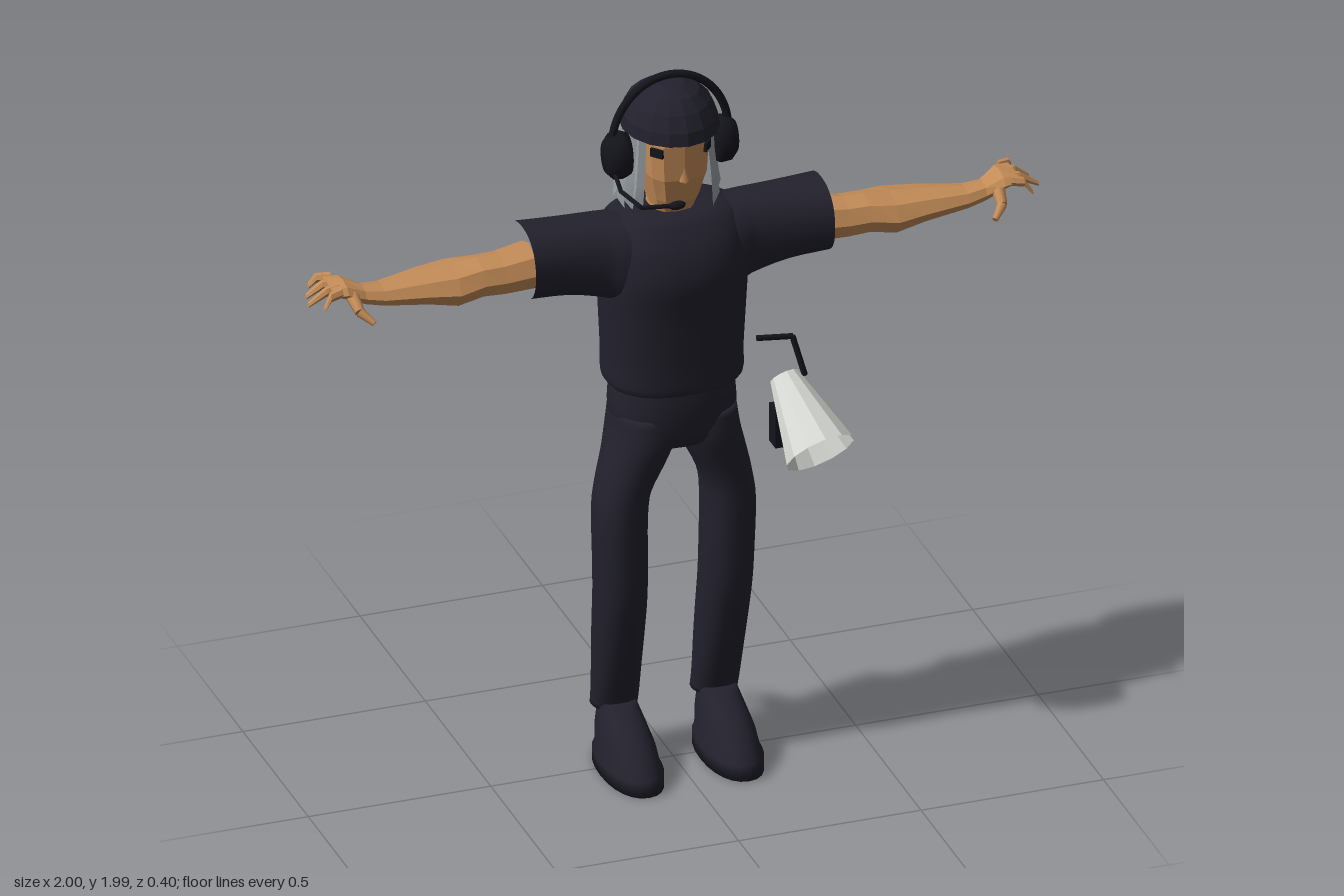
import * as THREE from 'three';

const mat = (name, color, extra = {}) => {
  const m = new THREE.MeshStandardMaterial({ color, ...extra });
  m.name = name;
  return m;
};

// Catmull-Rom refinement of cross-section rows
function refine(rings, k) {
  const out = [], at = i => rings[Math.max(0, Math.min(rings.length - 1, i))];
  for (let i = 0; i < rings.length - 1; i++) for (let j = 0; j < k; j++) {
    const t = j / k, [p, a, b, q] = [at(i - 1), at(i), at(i + 1), at(i + 2)];
    out.push(a.map((v, c) => v + 0.5 * t * (b[c] - p[c] + t * (2 * p[c] - 5 * v + 4 * b[c] - q[c] + t * (3 * (v - b[c]) + q[c] - p[c])))));
  }
  out.push(rings[rings.length - 1]);
  return out;
}

// Rings go along axis y as [y, cx, cz, rx, rz] or along axis x as [x, cy, cz, ry, rz]
function loft(rings, { axis = 'y', n = 24, pow = 2, flat = false, skip = null } = {}) {
  const pos = [], idx = [];
  const sup = v => Math.sign(v) * Math.abs(v) ** (2 / pow);
  for (const [t, a, b, ra, rb] of rings) for (let j = 0; j < n; j++) {
    const th = j / n * Math.PI * 2, c = sup(Math.cos(th)), s = sup(Math.sin(th));
    if (axis === 'y') pos.push(a + ra * c, t, b + rb * s);
    else pos.push(t, a + ra * s, b + rb * c);
  }
  for (let i = 0; i < rings.length - 1; i++) for (let j = 0; j < n; j++) {
    const k = (j + 1) % n, a = i * n + j, b = i * n + k, c = a + n, d = b + n;
    if (skip && [a, b, c, d].every(v => skip(pos[v * 3], pos[v * 3 + 1], pos[v * 3 + 2]))) continue;
    idx.push(a, c, b, b, c, d);
  }
  let g = new THREE.BufferGeometry();
  g.setAttribute('position', new THREE.Float32BufferAttribute(pos, 3));
  g.setIndex(idx);
  if (flat) g = g.toNonIndexed();
  g.computeVertexNormals();
  return g;
}

// Mirrors rings that run along x
const sideX = (rings, s) => s > 0 ? rings : rings.map(([x, ...r]) => [-x, ...r]).reverse();
// Mirrors rings that run along y
const sideY = (rings, s) => rings.map(([y, x, ...r]) => [y, x * s, ...r]);
// Closes both ends of a loft
const capped = r => {
  const a = r[0], b = r[r.length - 1];
  return [[a[0], a[1], a[2], 1e-4, 1e-4], ...r, [b[0], b[1], b[2], 1e-4, 1e-4]];
};

export function createModel() {
  const root = new THREE.Group();
  root.name = 'crewMember';
  const cloth = mat('dark cloth', 0x22212d);
  const black = mat('black plastic', 0x14141c);
  const skin = mat('skin', 0xc58d58);
  const grey = mat('grey hair', 0x9ba1a6, { side: THREE.DoubleSide });
  const white = mat('megaphone white', 0xd6d9d4, { side: THREE.DoubleSide });

  const add = (name, geo, m) => {
    const mesh = new THREE.Mesh(geo, m);
    mesh.name = name;
    root.add(mesh);
    return mesh;
  };
  const rod = (name, pts, r0, r1, m) => {
    for (let i = 0; i < pts.length - 1; i++) {
      const a = new THREE.Vector3(...pts[i]), b = new THREE.Vector3(...pts[i + 1]);
      const d = b.clone().sub(a), f = u => r0 + (r1 - r0) * u / (pts.length - 1);
      const mesh = add(name, new THREE.CylinderGeometry(f(i + 1), f(i), d.length(), 8), m);
      mesh.position.copy(a).addScaledVector(d, 0.5);
      mesh.quaternion.setFromUnitVectors(new THREE.Vector3(0, 1, 0), d.normalize());
    }
  };

  // Shirt body, left open where the sleeves run through it
  const torso = [[1.112, 0, -.01, .15, .13], [1.125, 0, -.01, .183, .143], [1.2, 0, -.012, .185, .148],
    [1.35, 0, -.01, .192, .156], [1.45, 0, -.01, .195, .168], [1.53, 0, -.015, .19, .152],
    [1.585, 0, -.02, .175, .115], [1.605, 0, -.025, .13, .09], [1.61, 0, -.03, .06, .055]];
  const inSleeve = (x, y, z) => Math.abs(x) > .1 && ((y - 1.495) / .1) ** 2 + ((z + .012) / .094) ** 2 < 1;
  add('shirtBody', loft(refine(torso, 4), { n: 56, pow: 2.4, skip: inSleeve }), cloth);
  const half = [[.15, 1.482, -.01, .12, .11], [.2, 1.492, -.014, .112, .1], [.3, 1.505, -.015, .1, .1], [.41, 1.513, -.012, .097, .107]];
  const sleeves = [...sideX(half, -1), [0, 1.482, -.01, .12, .115], ...half];
  add('sleeves', loft(refine(sleeves, 3), { axis: 'x', n: 32, pow: 2.3 }), cloth);

  // Trousers
  const hips = [[.925, 0, -.01, .04, .06], [.96, 0, -.012, .14, .12], [1.02, 0, -.012, .165, .135], [1.08, 0, -.012, .164, .138], [1.13, 0, -.012, .158, .134]];
  add('hips', loft(capped(refine(hips, 3)), { n: 32, pow: 2.4 }), cloth);
  const leg = [[.15, .137, -.073, .062, .053], [.2, .138, -.06, .063, .055], [.3, .14, -.043, .064, .07],
    [.4, .142, -.024, .066, .078], [.5, .144, -.006, .067, .084], [.6, .146, 0, .068, .086],
    [.74, .148, .002, .068, .093], [.82, .138, .002, .068, .097], [.9, .11, .001, .078, .108],
    [.97, .088, -.006, .084, .125], [1.04, .08, -.01, .083, .12]];
  const shoe = [[0, .137, .038, .077, .162], [.035, .137, .038, .077, .162], [.04, .137, .036, .071, .155],
    [.09, .137, .014, .066, .136], [.13, .137, -.015, .056, .105], [.16, .137, -.045, .05, .068], [.17, .137, -.05, .045, .055]];

  // Arm and hand sections
  const arm = [[.385, 1.487, -.03, .062, .073], [.47, 1.483, -.02, .056, .066], [.53, 1.485, -.018, .053, .066],
    [.6, 1.475, -.025, .056, .083], [.68, 1.482, -.02, .043, .07], [.8, 1.488, -.006, .029, .045],
    [.85, 1.496, -.006, .026, .036], [.9, 1.517, -.02, .024, .054], [.94, 1.521, -.026, .014, .056]];

  for (const s of [1, -1]) {
    const side = s > 0 ? 'left' : 'right';
    add(side + 'Leg', loft(capped(refine(sideY(leg, s), 3)), { n: 24, pow: 2.3 }), cloth);
    add(side + 'Shoe', loft(capped(sideY(shoe, s)), { n: 24, pow: 2.2 }), cloth);
    add(side + 'Arm', loft(sideX(capped(arm), s), { axis: 'x', n: 8, flat: true }), skin);
    // Fingers and thumb
    [[-.07, -.1, .965], [-.038, -.046, .99], [-.007, 0, 1], [.02, .04, .97]].forEach(([z0, z1, x], i) => {
      const f = [[.915, 1.524, z0, .014, .014], [.95, 1.52, (z0 + z1) / 2, .013, .012], [x, 1.492, z1, .007, .008]];
      add(side + 'Finger' + (i + 1), loft(sideX(capped(f), s), { axis: 'x', n: 6, flat: true }), skin);
    });
    rod(side + 'Thumb', [[.885 * s, 1.508, .01], [.88 * s, 1.48, .06], [.85 * s, 1.456, .09]], .019, .008, skin);
    // Eye plate on the angled cheek
    const eye = add(side + 'Eye', new THREE.BoxGeometry(.036, .024, .008), black);
    eye.position.set(.069 * s, 1.803, .069);
    eye.rotation.set(0, .88 * s, 0);
    // Headset ear cup
    const cup = add(side + 'EarCup', loft(capped(sideX([[.115, 1.765, -.025, .058, .045], [.135, 1.765, -.025, .066, .053],
      [.16, 1.765, -.025, .064, .051], [.178, 1.765, -.025, .045, .034]], s)), { axis: 'x', n: 20 }), black);
    cup.castShadow = false;
  }

  // Head and neck
  const head = [[1.57, 0, -.04, .058, .06], [1.615, 0, -.025, .056, .07], [1.65, 0, -.02, .064, .088],
    [1.72, 0, -.015, .082, .102], [1.82, 0, -.015, .088, .106], [1.88, 0, -.03, .085, .1]];
  add('head', loft(capped(head), { n: 12, pow: 3, flat: true }), skin);
  const nose = add('nose', new THREE.ConeGeometry(.014, .055, 4), skin);
  nose.position.set(0, 1.745, .085);

  // Cap
  const cap = [[1.835, 0, -.03, .128, .15], [1.87, 0, -.03, .123, .144], [1.91, 0, -.028, .105, .118], [1.94, 0, -.022, .075, .08], [1.957, 0, -.02, .035, .038]];
  add('cap', loft(capped(cap), { n: 16, flat: true }), cloth);

  // Hair: pleated curtain around sides and back with a ragged hem
  const cols = 34, hp = [], hi = [];
  const rows = [[1.85, .112, .122], [1.77, .118, .132], [1.69, .126, .142], [1.63, .132, .142]];
  for (let i = 0; i <= cols; i++) {
    const th = (50 + 260 * i / cols) * Math.PI / 180, wob = i % 2 ? 1.05 : .95;
    rows.forEach(([y, rx, rz], r) => {
      const drop = r === 3 ? [.025, -.01, .015, -.025, 0][i % 5] : 0;
      hp.push(rx * wob * Math.sin(th), y - drop, -.05 + rz * wob * Math.cos(th));
    });
  }
  for (let i = 0; i < cols; i++) for (let r = 0; r < 3; r++) {
    const a = i * 4 + r, b = a + 4;
    hi.push(a, a + 1, b, b, a + 1, b + 1);
  }
  let hair = new THREE.BufferGeometry();
  hair.setAttribute('position', new THREE.Float32BufferAttribute(hp, 3));
  hair.setIndex(hi);
  hair = hair.toNonIndexed();
  hair.computeVertexNormals();
  add('hair', hair, grey);

  // Headset band and microphone
  const arc = Array.from({ length: 17 }, (_, i) => {
    const a = Math.PI * i / 16;
    return new THREE.Vector3(.16 * Math.cos(a), 1.79 + .185 * Math.sin(a), -.025);
  });
  add('headband', new THREE.TubeGeometry(new THREE.CatmullRomCurve3(arc), 40, .011, 8), black);
  rod('microphoneBoom', [[-.16, 1.74, -.02], [-.165, 1.705, .06], [-.14, 1.697, .15], [-.05, 1.69, .155]], .006, .006, black);
  const mic = add('microphone', new THREE.SphereGeometry(.012, 12, 8), black);
  mic.scale.x = 2;
  mic.position.set(-.045, 1.69, .155);

  // Megaphone: open horn, hanging strap rod and grip
  const n = new THREE.Vector3(.315, 1.035, -.03), m = new THREE.Vector3(.353, .89, .14), axis = n.clone().sub(m);
  const horn = new THREE.CylinderGeometry(.04, .096, axis.length(), 12, 1, true).toNonIndexed();
  horn.computeVertexNormals();
  const hornMesh = add('megaphoneHorn', horn, white);
  hornMesh.position.copy(n).add(m).multiplyScalar(.5);
  hornMesh.quaternion.setFromUnitVectors(new THREE.Vector3(0, 1, 0), axis.normalize());
  rod('megaphoneBracket', [[.24, 1.16, -.03], [.337, 1.15, -.028], [.365, 1.04, -.012]], .008, .008, black);
  const grip = add('megaphoneGrip', new THREE.BoxGeometry(.036, .11, .05), black);
  grip.position.set(.302, .895, -.035);

  return root;
}
